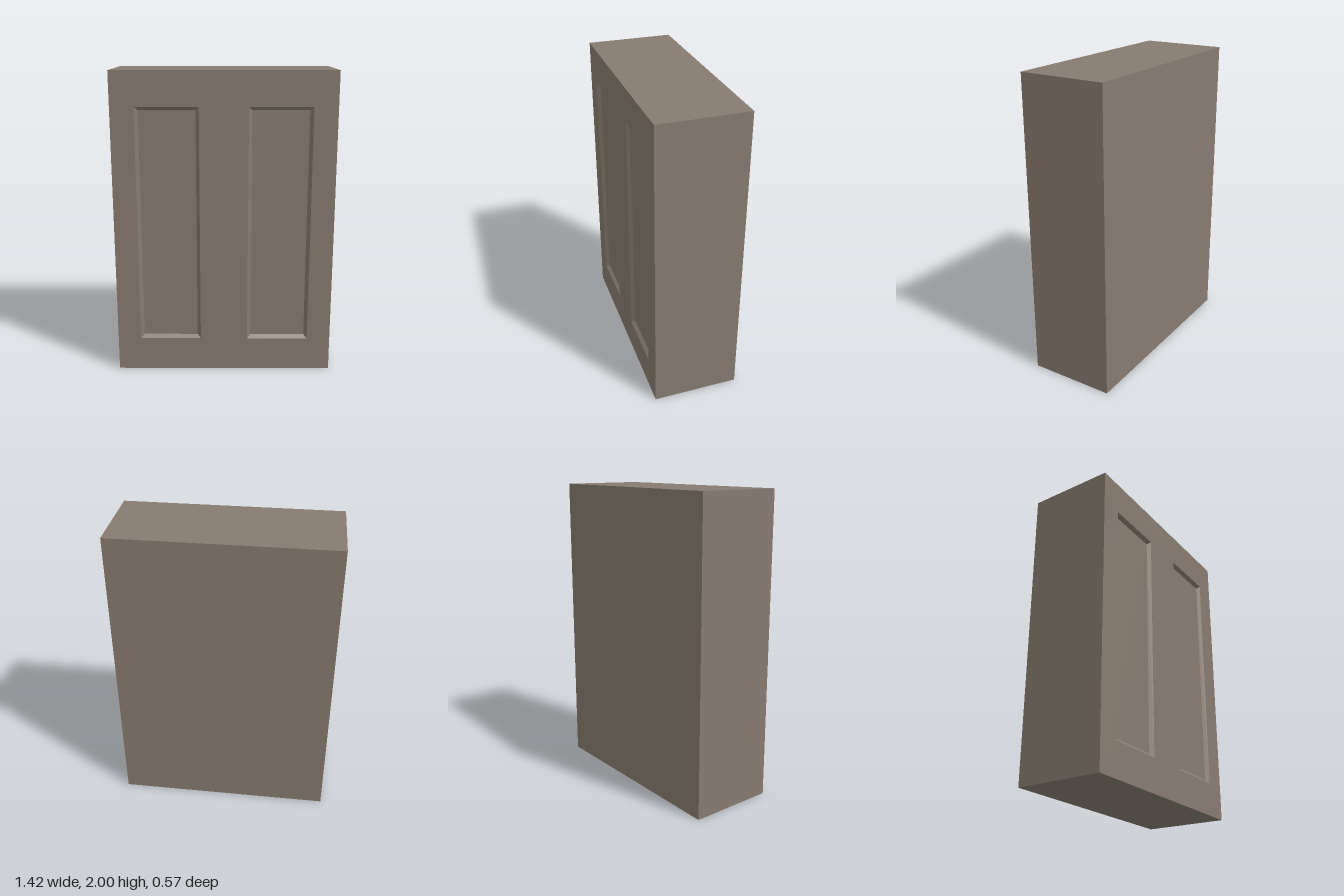
import * as THREE from 'three';

const W = 1.425, H = 2, D = 0.57;            // block size
const PANEL = { x: 0.358, w: 0.404, h: 1.556 }; // recessed panel centre and size
const BEVEL = 0.022, DEPTH = 0.022;

const material = new THREE.MeshStandardMaterial({ color: 0x877b70 });

// Corners of a rectangle, counter-clockwise seen from the front
function rect(cx, cy, w, h) {
  return [[-1, -1], [1, -1], [1, 1], [-1, 1]].map(
    ([sx, sy]) => new THREE.Vector2(cx + sx * w / 2, cy + sy * h / 2));
}

function addMesh(parent, geometry, name) {
  const mesh = new THREE.Mesh(geometry, material);
  mesh.name = name;
  parent.add(mesh);
  return mesh;
}

// Four mitred sloping strips leading from the face down to the panel
function bevelGeometry(outer, inner) {
  const pos = [];
  for (let k = 0; k < 4; k++) {
    const n = (k + 1) % 4;
    const a = [outer[k].x, outer[k].y, 0], b = [outer[n].x, outer[n].y, 0];
    const c = [inner[n].x, inner[n].y, -DEPTH], d = [inner[k].x, inner[k].y, -DEPTH];
    pos.push(...a, ...b, ...c, ...a, ...c, ...d);
  }
  const g = new THREE.BufferGeometry();
  g.setAttribute('position', new THREE.Float32BufferAttribute(pos, 3));
  g.computeVertexNormals();
  return g;
}

export function createModel() {
  const model = new THREE.Group();
  model.name = 'panelledBlock';

  // Sides, top, bottom and back: a box without its front face
  const shell = new THREE.BoxGeometry(W, H, D);
  const index = Array.from(shell.index.array);
  index.splice(24, 6);
  shell.setIndex(index);
  shell.clearGroups();
  addMesh(model, shell, 'body').position.y = H / 2;

  // Front face with an opening for each panel
  const face = new THREE.Shape(rect(0, H / 2, W, H));

  for (const side of [-1, 1]) {
    const panel = new THREE.Group();
    panel.name = side > 0 ? 'leftPanel' : 'rightPanel';
    panel.position.set(side * PANEL.x, H / 2, D / 2);
    model.add(panel);

    face.holes.push(new THREE.Path(rect(side * PANEL.x, H / 2, PANEL.w, PANEL.h)));

    const w = PANEL.w - 2 * BEVEL, h = PANEL.h - 2 * BEVEL;
    addMesh(panel, bevelGeometry(rect(0, 0, PANEL.w, PANEL.h), rect(0, 0, w, h)), 'panelBevel');
    addMesh(panel, new THREE.PlaneGeometry(w, h), 'panelField').position.z = -DEPTH;
  }

  addMesh(model, new THREE.ShapeGeometry(face), 'frontFrame').position.z = D / 2;
  return model;
}
